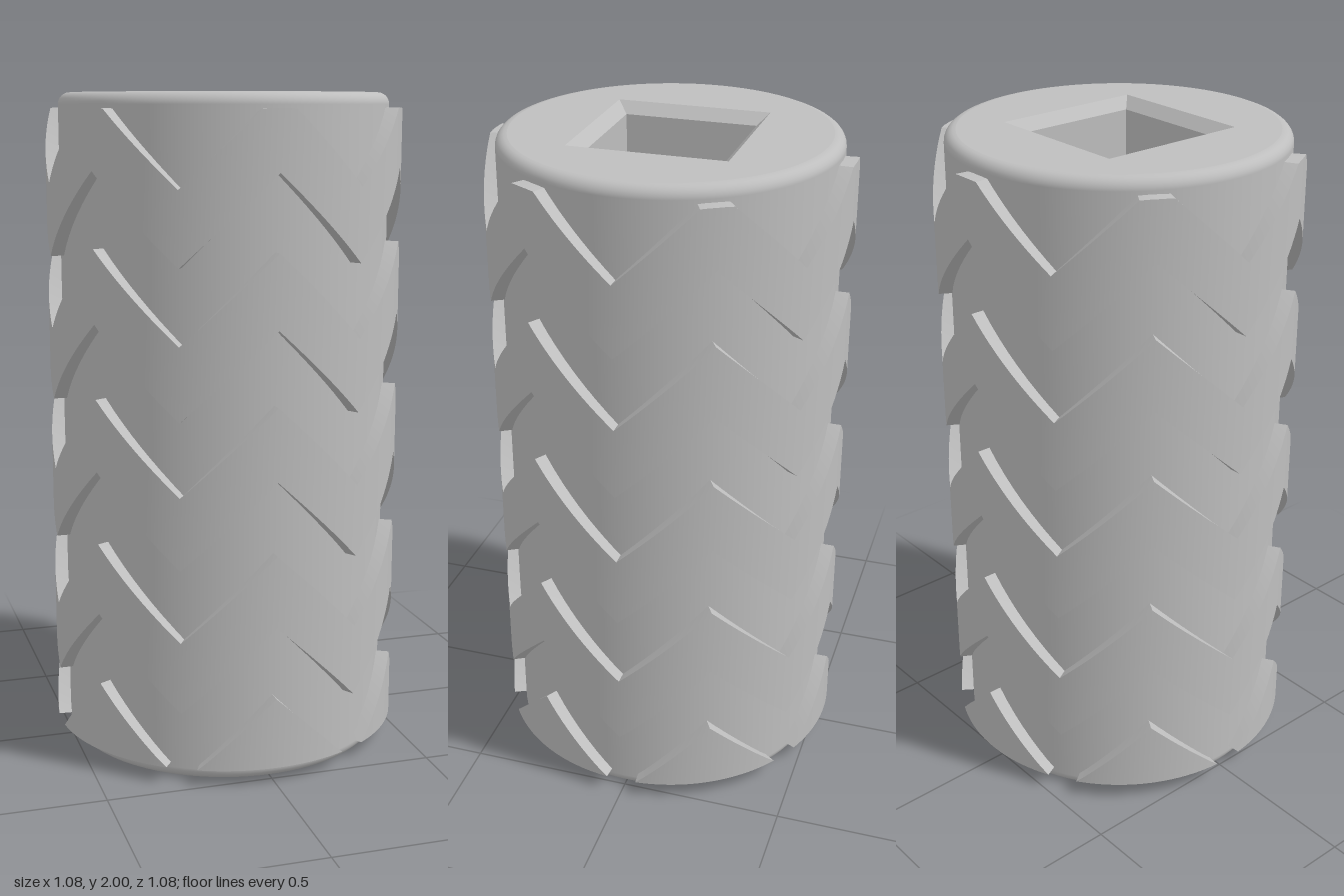
import * as THREE from 'three';
import { toCreasedNormals } from 'three/addons/utils/BufferGeometryUtils.js';

const R = 0.498, R_OUT = 0.538, FILLET = 0.035;
const Y_MIN = 0.05, Y_MAX = 1.955; // limits of the tread
const PITCH = 0.433, RISE = 0.26, THICK = 0.215;

const grey = new THREE.MeshStandardMaterial({ color: 0xbebebe });
grey.name = 'grey';

function mesh(name, geometry) {
  const m = new THREE.Mesh(geometry, grey);
  m.name = name;
  return m;
}

// Side wall with rounded rims
function bodyGeometry() {
  const points = [];
  for (const end of [0, 1]) {
    for (let i = 0; i <= 6; i++) {
      const a = (i / 6) * Math.PI / 2;
      const c = end ? Math.cos(a) : Math.sin(a);
      const s = end ? Math.sin(a) : Math.cos(a);
      points.push(new THREE.Vector2(
        R - FILLET + FILLET * c,
        end ? 2 - FILLET + FILLET * s : FILLET - FILLET * s));
    }
  }
  return new THREE.LatheGeometry(points, 96);
}

// Flat end with a chamfered square socket, facing +y
function makeEnd(name) {
  const end = new THREE.Group();
  end.name = name;
  const h = 0.233, shape = new THREE.Shape();
  shape.absarc(0, 0, R - FILLET, 0, Math.PI * 2);
  shape.holes.push(new THREE.Path([[-h, -h], [-h, h], [h, h], [h, -h]]
    .map(([x, y]) => new THREE.Vector2(x, y))));
  const face = new THREE.ShapeGeometry(shape, 48).rotateX(-Math.PI / 2).translate(0, 1, 0);
  end.add(mesh('endFace', face));

  // four-sided profile running downwards, so its faces look into the socket
  const profile = [[h, 1], [0.2, 0.967], [0.2, 0.15], [0, 0.15]]
    .map(([x, y]) => new THREE.Vector2(x * Math.SQRT2, y));
  const socket = new THREE.LatheGeometry(profile, 4, Math.PI / 4).toNonIndexed();
  socket.computeVertexNormals();
  end.add(mesh('squareSocket', socket));
  return end;
}

// Zigzag band with six peaks, trimmed flat at the tread limits
function treadGeometry(k) {
  const steps = 144, positions = [];
  const trim = (y) => Math.min(Y_MAX, Math.max(Y_MIN, y));
  const section = (i) => {
    const deg = (i % steps) * 360 / steps;
    const fromPeak = Math.abs(((deg + 30) % 60) - 30);
    const base = 0.05 + k * PITCH - RISE * fromPeak / 30;
    const lo = trim(base), hi = trim(base + THICK);
    const a = THREE.MathUtils.degToRad(deg);
    const ring = [[0.49, lo], [R_OUT, lo], [R_OUT, hi], [0.49, hi]]
      .map(([r, y]) => [r * Math.sin(a), y, r * Math.cos(a)]);
    return { ring, height: hi - lo };
  };
  for (let i = 0; i < steps; i++) {
    const s = section(i), t = section(i + 1);
    if (s.height + t.height < 1e-4) continue;
    for (let j = 0; j < 3; j++) {
      const a = s.ring[j], b = t.ring[j], c = t.ring[j + 1], d = s.ring[j + 1];
      // leave out triangles that collapse where the band runs out
      if (j !== 1 || s.height > 1e-4) positions.push(...a, ...c, ...d);
      if (j !== 1 || t.height > 1e-4) positions.push(...a, ...b, ...c);
    }
  }
  const g = new THREE.BufferGeometry();
  g.setAttribute('position', new THREE.Float32BufferAttribute(positions, 3));
  return toCreasedNormals(g, 0.5);
}

export function createModel() {
  const model = new THREE.Group();
  model.name = 'treadedRoller';
  model.add(mesh('rollerBody', bodyGeometry()));

  // Socketed ends
  const top = makeEnd('topEnd'), bottom = makeEnd('bottomEnd');
  top.position.y = bottom.position.y = 1;
  bottom.rotation.x = Math.PI;
  model.add(top, bottom);

  // Chevron tread bands
  const tread = new THREE.Group();
  tread.name = 'chevronTread';
  for (let k = 0; k < 5; k++) tread.add(mesh('treadBand' + (k + 1), treadGeometry(k)));
  model.add(tread);
  return model;
}
